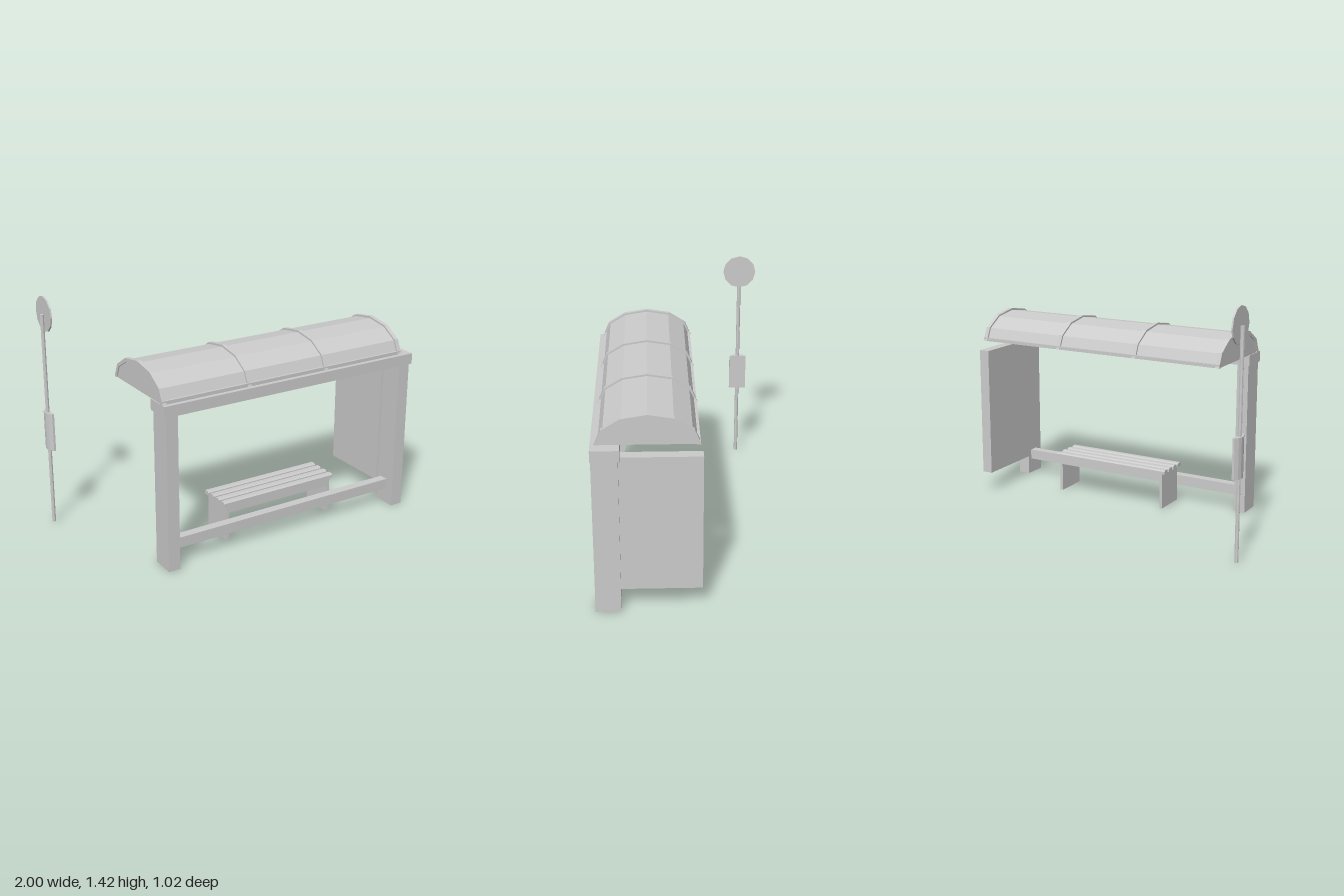
import * as THREE from 'three';

const material = new THREE.MeshStandardMaterial({ color: 0xcccccc, flatShading: true });

// Faceted roof arch: [z, y] measured from the middle of its base
const ARCH = [[0.279, 0], [0.243, 0.085], [0.143, 0.147], [0.002, 0.17], [-0.142, 0.147], [-0.243, 0.083], [-0.279, 0]];
const ROOF_Z = 0.211, ROOF_Y = 0.99;

// The arch pulled inward by an even inset, as [-z, y] for extruding along x
function archPoints(inset) {
  const sz = 1 - inset / 0.279, sy = 1 - inset / 0.17;
  return ARCH.map(([z, y]) => new THREE.Vector2(-(ROOF_Z + z * sz), ROOF_Y + y * sy));
}

function extrudeX(points, x0, x1) {
  const geometry = new THREE.ExtrudeGeometry(new THREE.Shape(points), {
    depth: x1 - x0, bevelEnabled: false, curveSegments: 8,
  });
  return geometry.rotateY(Math.PI / 2).translate(x0, 0, 0);
}

export function createModel() {
  const model = new THREE.Group();
  model.name = 'busShelter';

  function group(name) {
    const g = new THREE.Group();
    g.name = name;
    model.add(g);
    return g;
  }
  function add(parent, name, geometry) {
    const mesh = new THREE.Mesh(geometry, material);
    mesh.name = name;
    parent.add(mesh);
    return mesh;
  }
  // Box given by its limits on each axis
  function box(parent, name, [x0, x1], [y0, y1], [z0, z1]) {
    const geometry = new THREE.BoxGeometry(x1 - x0, y1 - y0, z1 - z0);
    geometry.translate((x0 + x1) / 2, (y0 + y1) / 2, (z0 + z1) / 2);
    return add(parent, name, geometry);
  }

  // Front frame and side wall
  const frame = group('frame');
  box(frame, 'rightPost', [-0.69, -0.618], [0, 0.93], [0.367, 0.509]);
  box(frame, 'leftPost', [0.906, 0.981], [0, 0.93], [0.367, 0.509]);
  box(frame, 'topBeam', [-0.70, 1.0], [0.925, 0.99], [0.358, 0.512]);
  box(frame, 'lowerRail', [-0.62, 0.91], [0.097, 0.16], [0.395, 0.45]);
  box(frame, 'sidePanel', [0.89, 0.955], [0.128, 0.93], [-0.08, 0.369]);

  // Arched roof: thin shell, ribs, closed ends and edge rails
  const roof = group('roof');
  const band = (outer, inner) => [...archPoints(outer), ...archPoints(inner).reverse()];
  add(roof, 'roofShell', extrudeX(band(0.011, 0.02), -0.685, 0.915));
  for (const x of [-0.70, -0.16, 0.365, 0.907]) {
    add(roof, 'roofRib', extrudeX(band(0, 0.022), x, x + 0.026));
  }
  for (const x of [-0.695, 0.918]) {
    add(roof, 'roofEnd', extrudeX(archPoints(0.005), x, x + 0.01));
  }
  box(roof, 'frontEdgeRail', [-0.70, 0.933], [0.99, 1.01], [0.465, 0.485]);
  box(roof, 'backEdgeRail', [-0.70, 0.933], [0.99, 1.01], [-0.063, -0.043]);

  // Bench with slats on a boxed frame
  const bench = group('bench');
  for (const x of [-0.225, 0.502]) {
    box(bench, 'benchLeg', [x, x + 0.018], [0.007, 0.235], [0.165, 0.367]);
  }
  for (const z of [0.165, 0.352]) {
    box(bench, 'benchApron', [-0.215, 0.512], [0.182, 0.237], [z, z + 0.015]);
  }
  box(bench, 'seatBase', [-0.222, 0.517], [0.228, 0.238], [0.167, 0.365]);
  const slats = 4, pitch = 0.0593;
  for (let i = 0; i < slats; i++) {
    const z = 0.156 + i * pitch;
    const profile = [[0, 0.232], [0, 0.249], [0.008, 0.257], [0.034, 0.257], [0.042, 0.249], [0.042, 0.232]]
      .map(([dz, y]) => new THREE.Vector2(-(z + dz), y));
    add(bench, 'seatSlat', extrudeX(profile, -0.245, 0.535));
  }

  // Free-standing stop sign pole
  const stop = group('stopSign');
  const pole = add(stop, 'pole', new THREE.CylinderGeometry(0.012, 0.012, 1.305, 8));
  pole.position.set(-0.982, 0.66, -0.4);
  const disc = add(stop, 'signDisc', new THREE.CylinderGeometry(0.105, 0.105, 0.009, 12));
  disc.rotation.z = Math.PI / 2;
  disc.position.set(-0.969, 1.315, -0.4);

  // Timetable holder: flat towards the shelter, bowed on the other side
  const bow = new THREE.Shape();
  bow.moveTo(-0.966, 0.345);
  bow.lineTo(-0.966, 0.455);
  bow.lineTo(-0.978, 0.455);
  bow.lineTo(-0.993, 0.434);
  bow.lineTo(-1.0, 0.412);
  bow.lineTo(-1.0, 0.388);
  bow.lineTo(-0.993, 0.366);
  bow.lineTo(-0.978, 0.345);
  const holder = new THREE.ExtrudeGeometry(bow, { depth: 0.232, bevelEnabled: false });
  holder.rotateX(-Math.PI / 2).translate(0, 0.488, 0);
  add(stop, 'timetableHolder', holder);

  return model;
}
